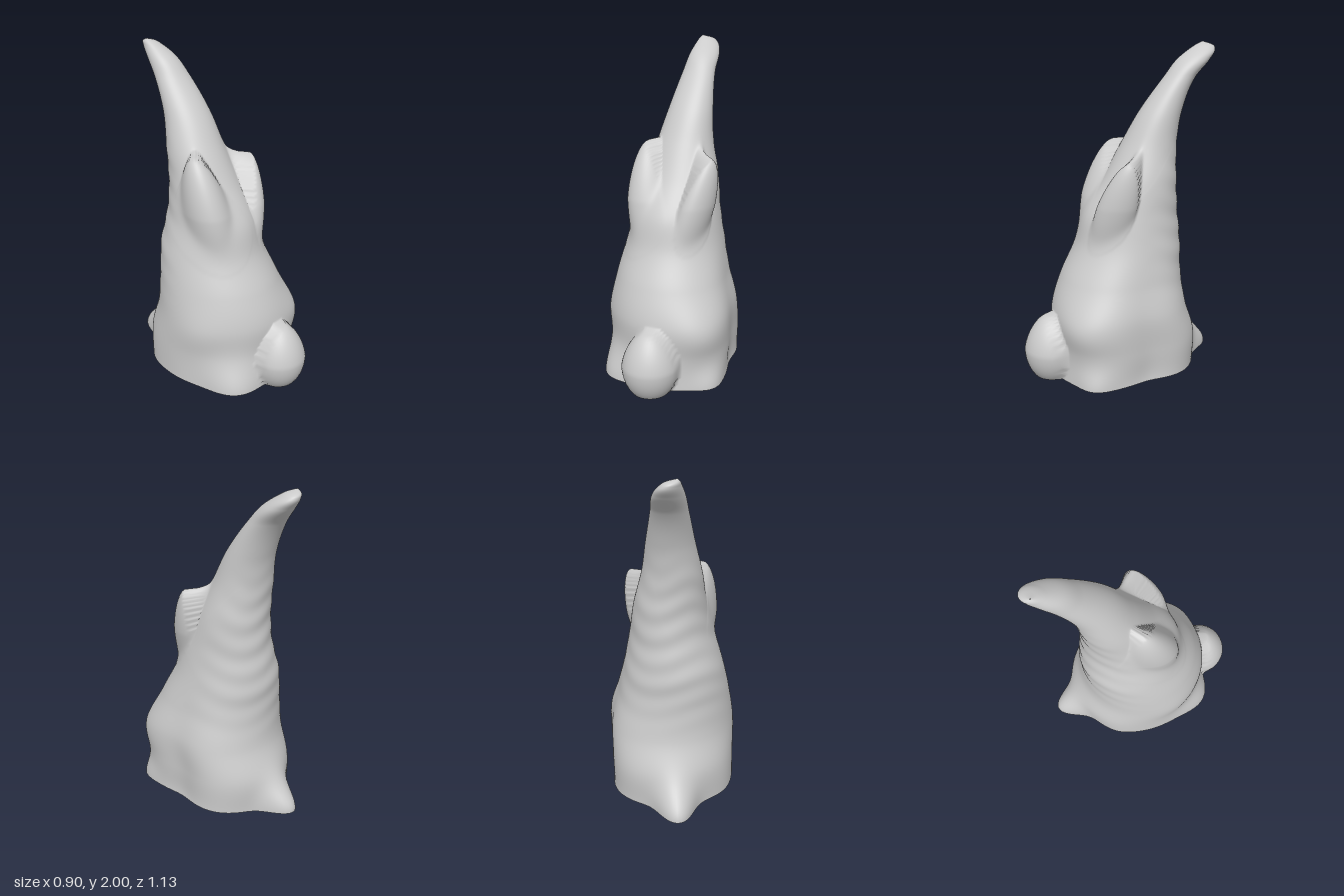
import * as THREE from 'three';

// Hollow, thin shell: open at the bottom
const material = new THREE.MeshStandardMaterial({ color: 0xcccccc, side: THREE.DoubleSide });
const SIDES = 180, ROWS = 220;

// Body sections: height, centre x, centre z, long radius, short radius, turn of the long axis
const SECTIONS = [
  [0.00, -0.01, -0.02, 0.46, 0.42, 0.52],
  [0.20, -0.015, -0.03, 0.455, 0.415, 0.52],
  [0.40, 0.00, 0.00, 0.425, 0.41, 0.52],
  [0.60, -0.03, -0.01, 0.38, 0.36, 0.5],
  [0.80, -0.06, -0.05, 0.33, 0.305, 0.45],
  [1.00, -0.06, -0.07, 0.29, 0.25, 0.35],
  [1.20, -0.08, -0.125, 0.222, 0.212, 0.2],
  [1.40, -0.115, -0.175, 0.17, 0.175, 0],
  [1.60, -0.14, -0.245, 0.128, 0.14, 0],
  [1.80, -0.19, -0.357, 0.095, 0.105, 0],
  [1.90, -0.225, -0.437, 0.098, 0.085, 0],
  [1.96, -0.26, -0.49, 0.075, 0.056, 0],
  [1.985, -0.28, -0.50, 0.045, 0.035, 0],
  [2.00, -0.30, -0.49, 0.002, 0.002, 0],
];

// Swellings and hollows: direction x, z, centre height, gain, angular width, vertical width
const SWELLINGS = [
  [-0.32, -0.50, 0.00, 0.36, 0.22, 0.15],  // tail
  [-0.10, 0.46, 0.00, 0.16, 0.36, 0.18],   // front foot
  [0.45, 0.13, 0.00, 0.10, 0.25, 0.12],    // side foot
  [0.44, 0.20, 0.32, 0.09, 0.40, 0.16],    // haunch
  [-0.70, 0.70, 0.35, 0.03, 0.40, 0.15],   // opposite haunch
  [-0.45, -0.08, 0.00, 0.03, 0.30, 0.20],
  [0.85, -0.53, 0.25, -0.16, 0.50, 0.45],  // flattened back corner
  [0.85, -0.53, 0.00, -0.08, 0.50, 0.15],
].map(([x, z, ...rest]) => [Math.atan2(z, x), ...rest]);

// Rounded parts grown out of the body: centre, radii, lean of the top, softness of the join
const LUMPS = [
  { c: [0.2, 0.17, 0.395], r: [0.17, 0.225, 0.172], lean: [0, 0], soft: 0.03 },             // ball
  { c: [-0.14, 1.075, 0.075], r: [0.13, 0.34, 0.165], lean: [-0.06, -0.04], soft: 0.04 },   // right ear
  { c: [0.17, 1.065, -0.005], r: [0.085, 0.28, 0.12], lean: [0.03, -0.08], soft: 0.03 },    // left ear
];

const sectionAt = new THREE.CubicInterpolant(
  SECTIONS.map((s) => s[0]), SECTIONS.flatMap((s) => s.slice(1)), 5, new Float32Array(5));

// Distance from the section centre to the far side of a lump; falls off steeply where it is missed
function lumpReach({ c, r, lean }, y, angle, cx, cz) {
  const h = (y - c[1]) / r[1];
  const taper = 1 - 0.2 * THREE.MathUtils.clamp(h, 0, 1);
  const rx = r[0] * taper, rz = r[2] * taper;
  const px = (c[0] + h * lean[0] - cx) / rx, pz = (c[2] + h * lean[1] - cz) / rz;
  const dx = Math.cos(angle) / rx, dz = Math.sin(angle) / rz;
  const a = dx * dx + dz * dz, b = dx * px + dz * pz;
  const root = b * b - a * (px * px + pz * pz - 1 + h * h);
  return (b + (root > 0 ? Math.sqrt(root) : -4 * Math.sqrt(-root))) / a;
}

function bodyPoint(y, angle) {
  const [cx, cz, long, short, turn] = sectionAt.evaluate(y);
  // polar ellipse whose long axis is turned from +z towards +x
  const local = angle - (Math.PI / 2 - turn);
  let r = long * short / Math.hypot(short * Math.cos(local), long * Math.sin(local));
  for (const [dir, height, gain, width, tall] of SWELLINGS) {
    const d = Math.atan2(Math.sin(angle - dir), Math.cos(angle - dir)) / width;
    const h = (y - height) / tall;
    r *= 1 + gain * Math.exp(-d * d - h * h);
  }
  // soft folds across the back
  const back = Math.max(0, -Math.cos(angle - 1.1));
  const fade = Math.exp(-(((y - 1.0) / 0.45) ** 4));
  r += 0.003 * back * fade * Math.sin(y * 42 + Math.sin(angle * 3) * 1.5);
  // smooth union with the lumps
  for (const lump of LUMPS) {
    const reach = lumpReach(lump, y, angle, cx, cz);
    r = (r + reach + Math.hypot(r - reach, lump.soft)) / 2;
  }
  return [cx + r * Math.cos(angle), y, cz + r * Math.sin(angle)];
}

function bodyGeometry() {
  const pos = [], index = [];
  for (let i = 0; i <= ROWS; i++) {
    const y = 2 * Math.sin((i / ROWS) * Math.PI / 2);
    for (let j = 0; j < SIDES; j++) pos.push(...bodyPoint(y, (j / SIDES) * Math.PI * 2));
  }
  for (let i = 0; i < ROWS; i++) {
    for (let j = 0; j < SIDES; j++) {
      const a = i * SIDES + j, b = i * SIDES + (j + 1) % SIDES;
      index.push(a, a + SIDES, b, b, a + SIDES, b + SIDES);
    }
  }
  const g = new THREE.BufferGeometry();
  g.setAttribute('position', new THREE.Float32BufferAttribute(pos, 3));
  g.setIndex(index);
  g.computeVertexNormals();
  return g;
}

export function createModel() {
  const model = new THREE.Group();
  const body = new THREE.Mesh(bodyGeometry(), material);
  body.name = 'bodyWithEarsAndBall';
  model.add(body);
  return model;
}
